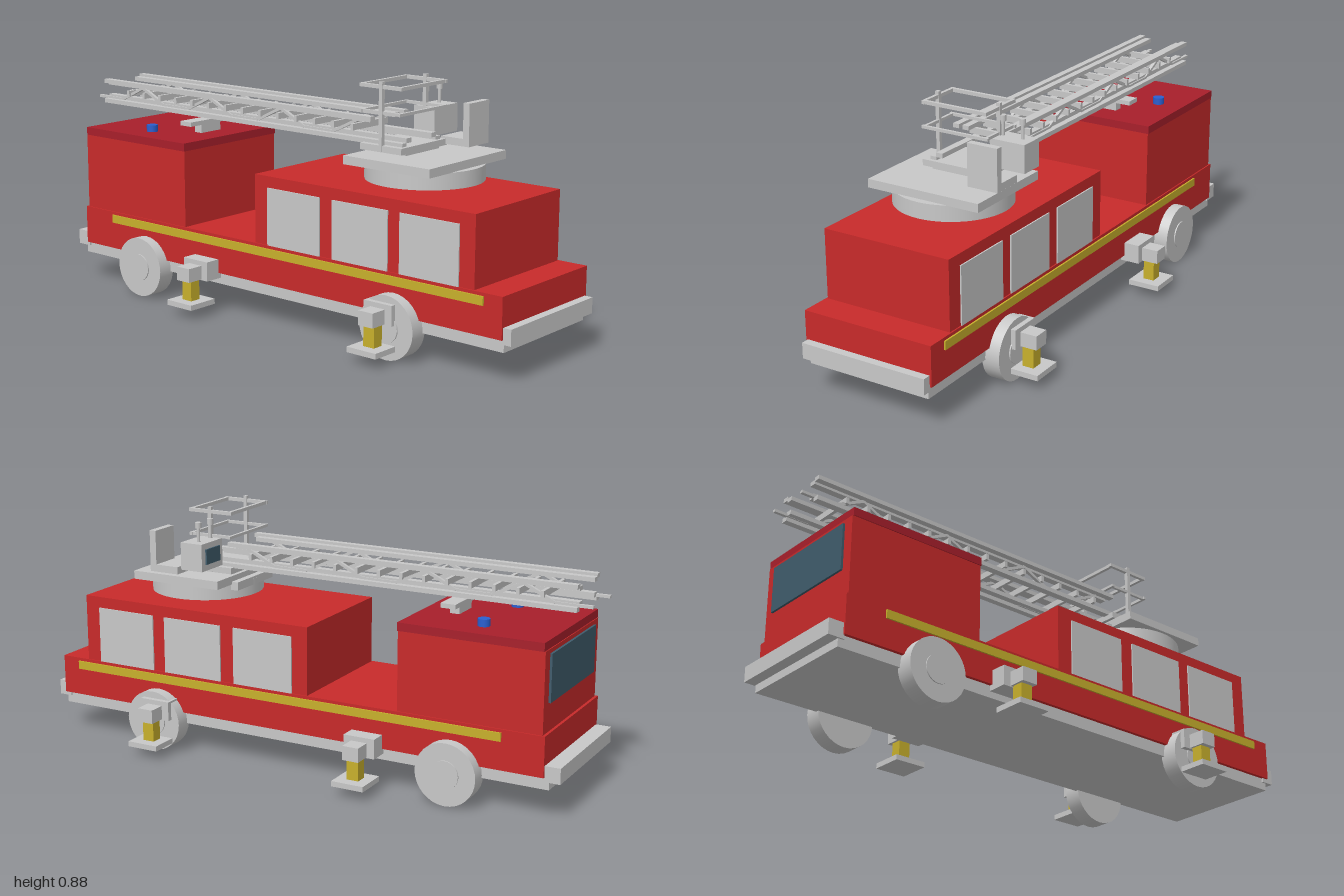
import * as THREE from 'three';

const mat = (name, color) => {
  const m = new THREE.MeshStandardMaterial({ color });
  m.name = name;
  return m;
};

export function createModel() {
  const red = mat('body red', 0xc82a2a);
  const darkRed = mat('roof red', 0xa81f2b);
  const grey = mat('light grey', 0xc8c8c8);
  const yellow = mat('yellow', 0xc8b02c);
  const glass = mat('glass', 0x405c6c);
  const blue = mat('beacon blue', 0x2a5fd0);

  const root = new THREE.Group();
  root.name = 'ladderTruck';

  const add = (name, geometry, material, parent = root) => {
    const mesh = new THREE.Mesh(geometry, material);
    mesh.name = name;
    parent.add(mesh);
    return mesh;
  };
  // Box given by its limits on each axis
  const box = (name, material, x0, x1, y0, y1, z0, z1, parent = root) => {
    const g = new THREE.BoxGeometry(Math.abs(x1 - x0), y1 - y0, z1 - z0);
    const m = add(name, g, material, parent);
    m.position.set((x0 + x1) / 2, (y0 + y1) / 2, (z0 + z1) / 2);
    return m;
  };
  // Upright cylinder given by its base
  const post = (name, material, r, x, y0, y1, z, sides = 16) => {
    const m = add(name, new THREE.CylinderGeometry(r, r, y1 - y0, sides), material);
    m.position.set(x, (y0 + y1) / 2, z);
    return m;
  };
  const group = (name) => {
    const g = new THREE.Group();
    g.name = name;
    root.add(g);
    return g;
  };

  // Chassis, bumpers and body
  box('chassis', grey, -0.232, 0.232, 0.102, 0.145, -0.96, 0.97);
  box('rearBumper', grey, -0.238, 0.238, 0.13, 0.185, 0.95, 1);
  box('cabBumper', grey, -0.238, 0.238, 0.13, 0.185, -1, -0.94);
  box('lowerBody', red, -0.245, 0.245, 0.145, 0.286, -0.945, 0.97);
  box('rearBody', red, -0.24, 0.24, 0.286, 0.53, -0.07, 0.86);
  box('cab', red, -0.24, 0.24, 0.286, 0.565, -0.935, -0.415);
  box('cabRoof', darkRed, -0.243, 0.243, 0.565, 0.594, -0.932, -0.413);
  box('windscreen', glass, -0.2, 0.2, 0.385, 0.55, -0.943, -0.934);

  for (const s of [1, -1]) {
    // Roller shutters and side stripe
    for (const z of [0.683, 0.398, 0.108])
      box('shutter', grey, s * 0.238, s * 0.245, 0.286, 0.49, z - 0.118, z + 0.118);
    box('sideStripe', yellow, s * 0.243, s * 0.251, 0.245, 0.275, -0.795, 0.9);

    // Wheels with hub caps
    for (const z of [0.545, -0.615]) {
      const wheel = group('wheel');
      wheel.position.set(s * 0.2525, 0.11, z);
      wheel.rotation.z = -s * Math.PI / 2;
      add('tyre', new THREE.CylinderGeometry(0.11, 0.11, 0.065, 32), grey, wheel);
      add('hub', new THREE.CylinderGeometry(0.05, 0.05, 0.01, 24), grey, wheel).position.y = 0.032;
    }

    // Outriggers
    for (const z of [0.525, -0.305]) {
      const rig = group('outrigger');
      box('housing', grey, s * 0.2, s * 0.303, 0.125, 0.195, z - 0.058, z + 0.058, rig);
      box('arm', grey, s * 0.29, s * 0.365, 0.128, 0.178, z - 0.03, z + 0.03, rig);
      box('leg', yellow, s * 0.307, s * 0.348, 0.053, 0.13, z - 0.022, z + 0.022, rig);
      box('footPlate', grey, s * 0.268, s * 0.387, 0.036, 0.055, z - 0.06, z + 0.06, rig);
    }

    // Roof beacon
    post('beacon', blue, 0.021, s * 0.143, 0.592, 0.619, -0.68);
  }

  // Ladder rest on the cab roof
  box('ladderRestPost', grey, -0.05, 0.05, 0.59, 0.628, -0.55, -0.515);
  box('ladderRestTop', grey, -0.112, 0.112, 0.626, 0.642, -0.563, -0.508);

  // Turntable
  post('turntable', grey, 0.203, 0, 0.555, 0.611, 0.482, 48);
  box('turntablePlate', grey, -0.215, 0.215, 0.61, 0.64, 0.305, 0.66);
  box('ladderBracket', grey, -0.12, 0.12, 0.59, 0.62, 0.28, 0.308);
  box('pedestal', grey, -0.093, 0.093, 0.638, 0.65, 0.32, 0.47);

  // Basket floor and rails
  box('basketFloor', grey, -0.126, 0.126, 0.648, 0.67, 0.303, 0.478);
  for (const x of [-0.12, 0.12]) {
    box('basketPost', grey, x - 0.007, x + 0.007, 0.65, 0.883, 0.383, 0.397);
    box('topSideRail', grey, x - 0.006, x + 0.006, 0.86, 0.872, 0.3, 0.477);
  }
  for (const z of [0.308, 0.469]) {
    box('topCrossRail', grey, -0.126, 0.126, 0.86, 0.872, z - 0.006, z + 0.006);
    box('midCrossRail', grey, -0.13, 0.13, 0.775, 0.785, z - 0.005, z + 0.005);
  }
  for (const x of [-0.12, 0.12])
    box('midSideRail', grey, x - 0.005, x + 0.005, 0.775, 0.785, 0.305, 0.472);

  // Operator seat and control console
  box('seat', grey, 0.118, 0.232, 0.652, 0.678, 0.46, 0.575);
  box('seatBack', grey, 0.118, 0.232, 0.66, 0.8, 0.55, 0.575);
  box('console', grey, 0.112, 0.245, 0.675, 0.773, 0.348, 0.435);
  box('screen', glass, 0.135, 0.222, 0.698, 0.752, 0.342, 0.349);
  for (const x of [0.131, 0.207]) {
    post('lever', grey, 0.006, x, 0.77, 0.83, 0.385, 10);
    post('leverKnob', grey, 0.011, x, 0.822, 0.843, 0.385, 12);
  }

  // Ladder: stepped chords, zigzag braces and rungs
  const ladder = group('ladder');
  const brace = (x, z0, y0, z1, y1) => {
    const len = Math.hypot(z1 - z0, y1 - y0);
    const m = add('brace', new THREE.BoxGeometry(0.012, 0.01, len), grey, ladder);
    m.position.set(x, (y0 + y1) / 2, (z0 + z1) / 2);
    m.rotation.x = -Math.atan2(y1 - y0, z1 - z0);
  };
  for (const s of [1, -1]) {
    box('outerTopChord', grey, s * 0.08, s * 0.104, 0.742, 0.757, -0.982, 0.33, ladder);
    box('innerTopChord', grey, s * 0.055, s * 0.081, 0.733, 0.748, -0.982, 0.31, ladder);
    box('outerLowChord', grey, s * 0.08, s * 0.104, 0.666, 0.682, -0.982, 0.465, ladder);
    box('innerLowChord', grey, s * 0.055, s * 0.081, 0.681, 0.697, -0.982, 0.465, ladder);
    for (let i = 0; i < 4; i++) {
      const z = 0.26 - i * 0.35;
      brace(s * 0.08, z, 0.738, z - 0.11, 0.685);
      brace(s * 0.08, z - 0.11, 0.685, z - 0.24, 0.685);
      if (i < 3) brace(s * 0.08, z - 0.24, 0.685, z - 0.35, 0.738);
    }
  }
  for (let i = 0; i < 14; i++) {
    const z = -0.86 + i * 0.0848;
    box('rung', grey, -0.095, 0.095, 0.7, 0.722, z - 0.006, z + 0.006, ladder);
  }
  return root;
}
